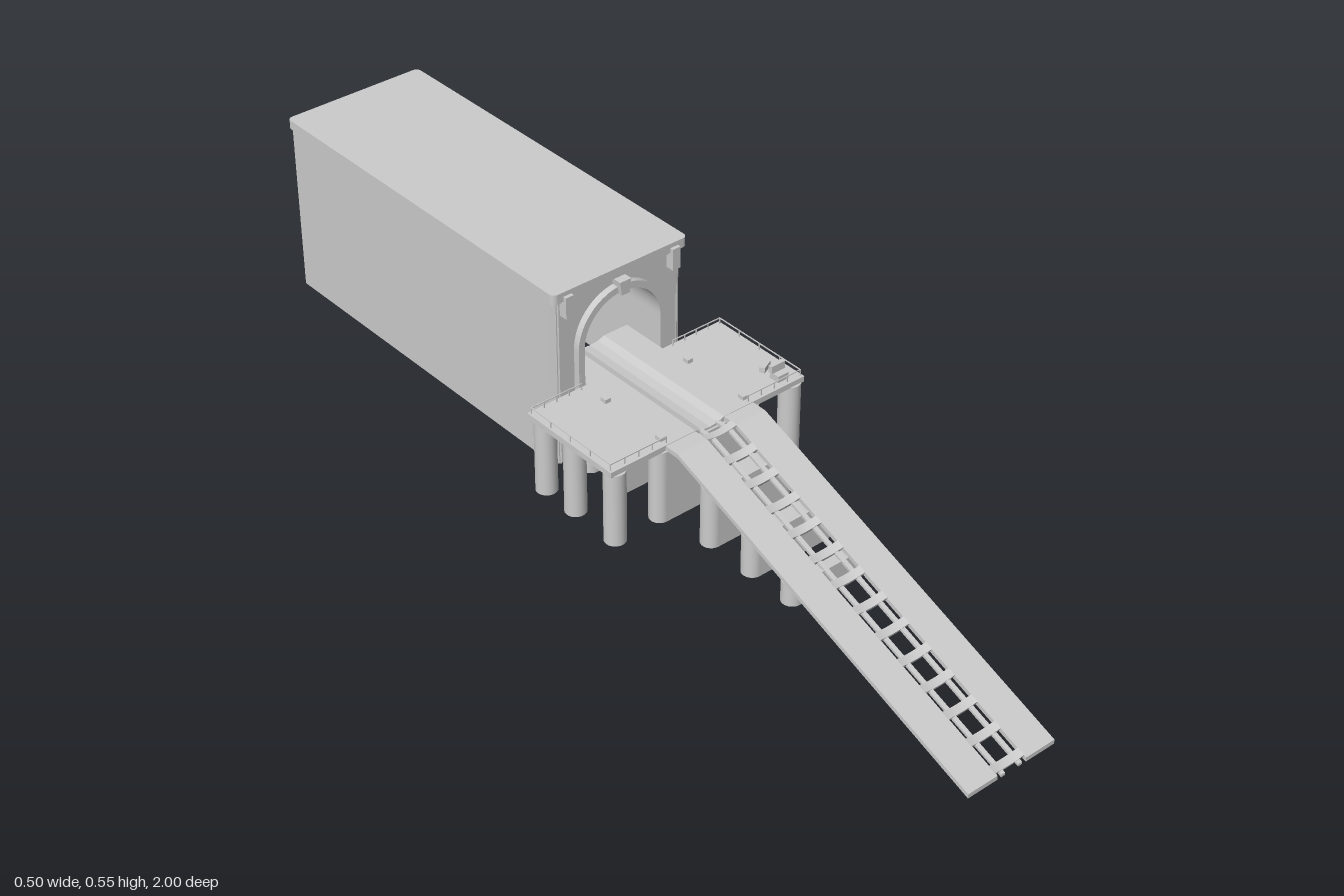
import * as THREE from 'three';

const grey = new THREE.MeshStandardMaterial({ color: 0xcccccc, side: THREE.DoubleSide });

export function createModel() {
  const model = new THREE.Group();

  function add(name, geometry, x = 0, y = 0, z = 0) {
    const mesh = new THREE.Mesh(geometry, grey);
    mesh.name = name;
    mesh.position.set(x, y, z);
    model.add(mesh);
    return mesh;
  }
  // Box given by its lower and upper limits
  function box(name, x0, x1, y0, y1, z0, z1) {
    return add(name, new THREE.BoxGeometry(x1 - x0, y1 - y0, z1 - z0),
      (x0 + x1) / 2, (y0 + y1) / 2, (z0 + z1) / 2);
  }
  const polygon = (pts) => new THREE.Shape(pts.map(([x, y]) => new THREE.Vector2(x, y)));
  const extrude = (shape, depth) =>
    new THREE.ExtrudeGeometry(shape, { depth, bevelEnabled: false, curveSegments: 20 });
  // Plan outline drawn as (x, -z), raised along y
  const raise = (shape, height) => extrude(shape, height).rotateX(-Math.PI / 2);

  // Tunnel house: thin side and back walls, chamfered at the front, open below
  add('tunnelWalls', raise(polygon([
    [-0.15, 0.11], [-0.165, 0.122], [-0.165, 0.99], [0.165, 0.99], [0.165, 0.122], [0.15, 0.11],
    [0.15, 0.13], [0.158, 0.135], [0.158, 0.983], [-0.158, 0.983], [-0.158, 0.135], [-0.15, 0.13],
  ]), 0.39), 0, 0.135, 0);

  // Thick front wall with an arched opening
  const spring = 0.393, inner = 0.097, outer = 0.112;
  const front = new THREE.Shape();
  front.moveTo(-0.155, 0.135);
  front.lineTo(-inner, 0.135);
  front.lineTo(-inner, spring);
  front.absarc(0, spring, inner, Math.PI, 0, true);
  front.lineTo(inner, 0.135);
  front.lineTo(0.155, 0.135);
  front.lineTo(0.155, 0.525);
  front.lineTo(-0.155, 0.525);
  add('portalWall', extrude(front, 0.09), 0, 0, -0.202);

  // Raised arch surround and keystone
  const surround = new THREE.Shape();
  surround.moveTo(-outer, 0.135);
  surround.lineTo(-outer, spring);
  surround.absarc(0, spring, outer, Math.PI, 0, true);
  surround.lineTo(outer, 0.135);
  surround.lineTo(inner, 0.135);
  surround.lineTo(inner, spring);
  surround.absarc(0, spring, inner, 0, Math.PI, false);
  surround.lineTo(-inner, 0.135);
  add('archSurround', extrude(surround, 0.015), 0, 0, -0.112);
  add('keystone', extrude(polygon([[-0.01, 0.488], [0.01, 0.488], [0.014, 0.519], [-0.014, 0.519]]), 0.025), 0, 0, -0.112);

  // Roof slab with small rounded corners and a moulding below
  function roundedPlan(w, z0, z1, r) {
    const s = new THREE.Shape();
    s.absarc(w - r, -z1 + r, r, -Math.PI / 2, 0);
    s.absarc(w - r, -z0 - r, r, 0, Math.PI / 2);
    s.absarc(-w + r, -z0 - r, r, Math.PI / 2, Math.PI);
    s.absarc(-w + r, -z1 + r, r, Math.PI, Math.PI * 1.5);
    return s;
  }
  add('roof', raise(roundedPlan(0.17, -1, -0.1, 0.012), 0.021), 0, 0.525, 0);
  add('roofMoulding', raise(roundedPlan(0.167, -0.995, -0.105, 0.012), 0.006), 0, 0.52, 0);

  for (const s of [-1, 1]) {
    box('corbel', s * 0.135 - 0.01, s * 0.135 + 0.01, 0.487, 0.536, -0.112, -0.092);
  }

  // Platform with a shallow dip along the track, continued into the portal
  const deckProfile = (w) => polygon([
    [-w, 0.302], [w, 0.302], [w, 0.315], [0.037, 0.315], [0.02, 0.309],
    [0, 0.307], [-0.02, 0.309], [-0.037, 0.315], [-w, 0.315],
  ]);
  add('platform', extrude(deckProfile(0.248), 0.255), 0, 0, -0.09);
  add('portalFloor', extrude(deckProfile(inner), 0.112), 0, 0, -0.202);

  // Ramp height along z
  const rampTop = (z) => (z > 0.2 ? 0.01 + (1 - z) * 0.38 : 0.314);

  // Round platform columns and long piers with rounded ends
  function pier(z, half, top) {
    const r = 0.022;
    const s = new THREE.Shape();
    s.absarc(half - r, -z, r, -Math.PI / 2, Math.PI / 2);
    s.absarc(-half + r, -z, r, Math.PI / 2, Math.PI * 1.5);
    add('pier', raise(s, top - 0.135), 0, 0.135, 0);
  }
  for (const z of [0.148, 0.027, -0.064]) {
    for (const s of [-1, 1]) {
      add('platformColumn', new THREE.CylinderGeometry(0.023, 0.023, 0.168, 24), s * 0.225, 0.219, z);
    }
    pier(z, 0.135, 0.303);
  }
  for (const z of [0.272, 0.39, 0.502]) pier(z, 0.11, rampTop(z + 0.022) - 0.006);

  // Strip that follows the ramp, from x0 to x1
  function strip(name, x0, x1, drop, thick) {
    const top = [[1, 0.01], [0.2, 0.314], [0.16, 0.314]].map(([z, y]) => [z, y - drop]);
    const low = top.map(([z, y]) => [z, Math.max(y - thick, 0)]).reverse();
    add(name, extrude(polygon([...top, ...low]), x1 - x0).rotateY(-Math.PI / 2), x1, 0, 0);
  }
  for (const s of [-1, 1]) {
    strip('rampPlate', s * 0.0745 - 0.0375, s * 0.0745 + 0.0375, 0, 0.01);
    strip('rampRail', s * 0.022 - 0.005, s * 0.022 + 0.005, 0.004, 0.006);
  }

  // Sagging cross ties between the ramp plates
  for (let i = 0; i < 14; i++) {
    const z = 0.985 - i * 0.061;
    const tie = new THREE.BoxGeometry(0.076, 0.007, 0.018, 8, 1, 1);
    const p = tie.attributes.position;
    for (let k = 0; k < p.count; k++) {
      p.setY(k, p.getY(k) - 0.005 * (1 - (p.getX(k) / 0.038) ** 2));
    }
    tie.computeVertexNormals();
    if (z > 0.2) tie.rotateX(Math.atan(0.38));
    add('crossTie', tie, 0, rampTop(z) - 0.003, z);
  }

  // Thin guard rails round both wings of the platform
  const t = 0.001;
  for (const s of [-1, 1]) {
    const corners = [[0.105, 0.158], [0.243, 0.158], [0.243, -0.083], [0.118, -0.083]];
    for (let i = 0; i < 3; i++) {
      const [xa, za] = corners[i], [xb, zb] = corners[i + 1];
      box('guardRail', Math.min(s * xa, s * xb) - t, Math.max(s * xa, s * xb) + t,
        0.328, 0.33, Math.min(za, zb) - t, Math.max(za, zb) + t);
      for (let k = 0; k <= 4; k++) {
        const x = s * (xa + (xb - xa) * k / 4), z = za + (zb - za) * k / 4;
        box('railPost', x - t, x + t, 0.315, 0.33, z - t, z + t);
      }
    }
    // Small blocks beside the track
    box('trackBlock', s * 0.106 - 0.007, s * 0.106 + 0.007, 0.315, 0.324, 0.135, 0.15);
    box('trackBlock', s * 0.106 - 0.007, s * 0.106 + 0.007, 0.315, 0.324, -0.03, -0.015);
  }

  // Control desk and seat on the left wing
  box('controlDesk', 0.188, 0.223, 0.33, 0.347, 0.125, 0.135);
  box('controlDeskBase', 0.192, 0.219, 0.315, 0.33, 0.125, 0.15);
  box('seat', 0.19, 0.22, 0.315, 0.327, 0.09, 0.102).rotation.y = 0.45;

  return model;
}
